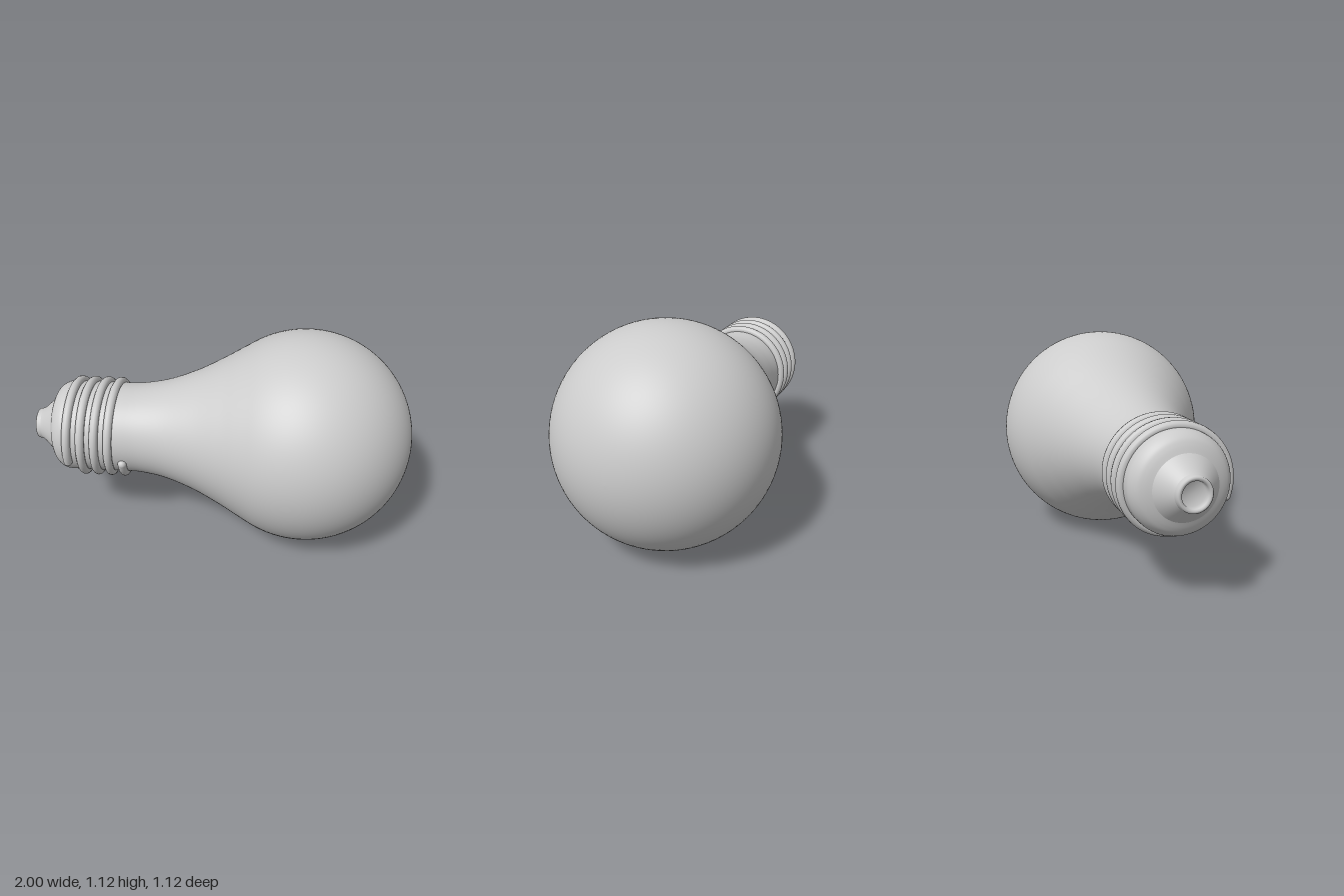
import * as THREE from 'three';

const AXIS_Y = 0.56; // height of the bulb's axis
const SEGMENTS = 96;

// Profile points are [position along x, radius]
const toPoints = (pairs) => pairs.map(([x, r]) => new THREE.Vector2(r, x));

export function createModel() {
  const model = new THREE.Group();
  const material = new THREE.MeshStandardMaterial({ color: 0xcccccc });

  const add = (name, geometry) => {
    const mesh = new THREE.Mesh(geometry, material);
    mesh.name = name;
    mesh.position.y = AXIS_Y;
    model.add(mesh);
    return mesh;
  };
  // Surface of revolution laid along the x axis
  const addTurned = (name, points) => {
    const geometry = new THREE.LatheGeometry(points, SEGMENTS);
    geometry.rotateZ(-Math.PI / 2);
    return add(name, geometry);
  };

  // Glass: flared neck blending into a round globe
  const neck = new THREE.SplineCurve(toPoints([
    [-0.52, 0.24], [-0.42, 0.244], [-0.285, 0.27], [-0.135, 0.325],
    [0, 0.393], [0.08, 0.439], [0.15, 0.479],
  ])).getPoints(40);
  const globe = [];
  const start = Math.atan2(0.479, -0.29);
  for (let i = 1; i <= 48; i++) {
    const a = start * (1 - i / 48);
    globe.push(new THREE.Vector2(Math.max(0, 0.56 * Math.sin(a)), 0.44 + 0.56 * Math.cos(a)));
  }
  addTurned('glassBulb', [...neck, ...globe]);

  // Screw base: sleeve and rounded shoulder
  addTurned('screwBase', new THREE.SplineCurve(toPoints([
    [-0.895, 0.152], [-0.882, 0.185], [-0.865, 0.212], [-0.835, 0.233],
    [-0.8, 0.24], [-0.7, 0.24], [-0.6, 0.24], [-0.52, 0.24],
  ])).getPoints(42));

  // Tapered end, with a shallow recess in the contact
  addTurned('contactCone', toPoints([[-0.972, 0.084], [-0.95, 0.1], [-0.895, 0.152]]));
  addTurned('contactTip', toPoints([
    [-0.97, 0], [-0.97, 0.055], [-0.994, 0.06], [-1, 0.067],
    [-1, 0.075], [-0.995, 0.08], [-0.972, 0.084],
  ]));

  // Screw thread: four turns, beginning and ending at the front
  const TURNS = 4, FROM = -0.795, TO = -0.508, RADIUS = 0.245, THICKNESS = 0.023;
  class Helix extends THREE.Curve {
    getPoint(t, target = new THREE.Vector3()) {
      const a = t * TURNS * Math.PI * 2 - 0.35;
      return target.set(FROM + (TO - FROM) * t, RADIUS * Math.sin(a), RADIUS * Math.cos(a));
    }
  }
  const helix = new Helix();
  add('screwThread', new THREE.TubeGeometry(helix, 320, THICKNESS, 12, false));
  for (const t of [0, 1]) {
    const end = add('threadEnd', new THREE.SphereGeometry(THICKNESS, 16, 12));
    end.position.add(helix.getPoint(t));
  }

  return model;
}
